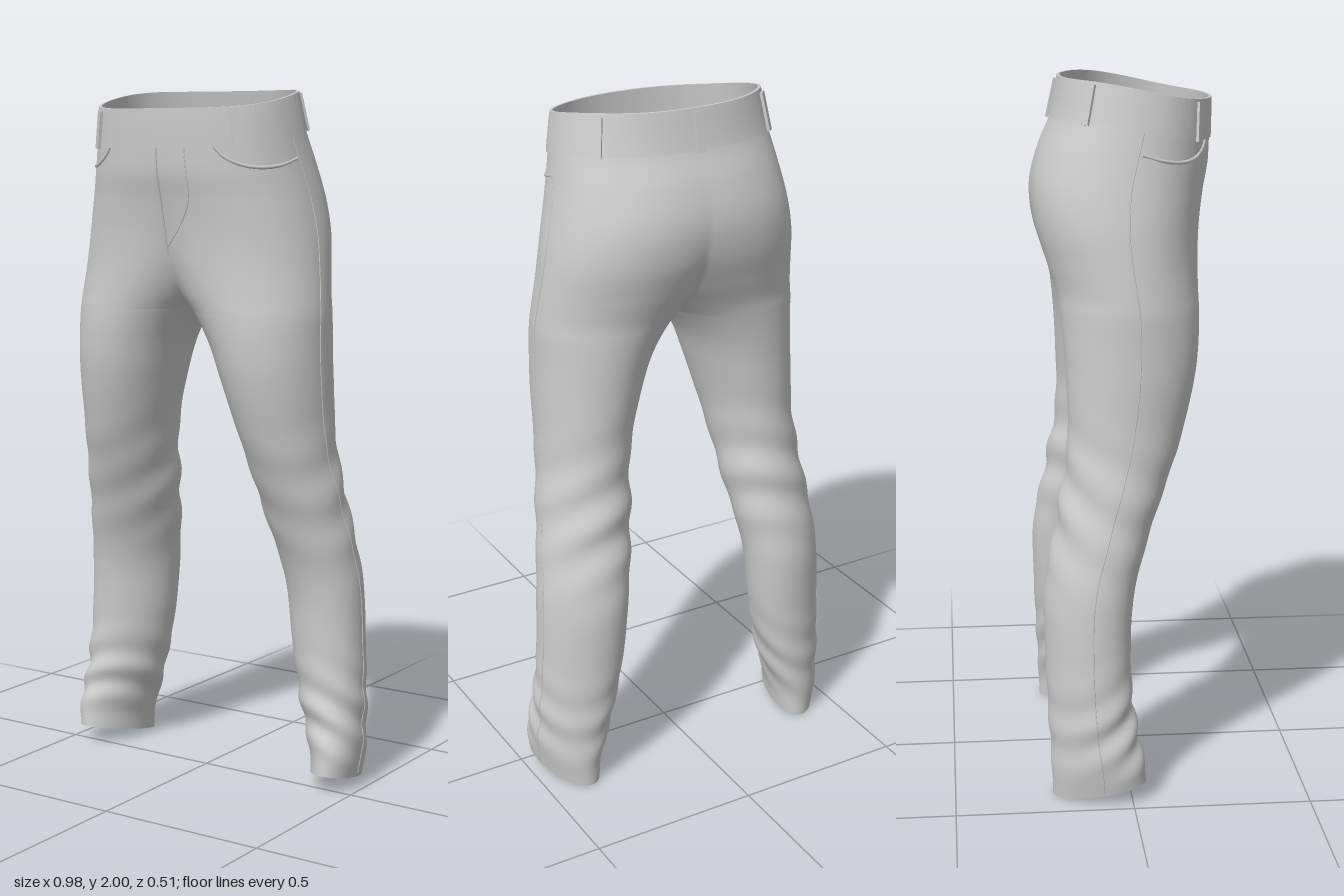
import * as THREE from 'three';
import { mergeVertices, toCreasedNormals } from 'three/addons/utils/BufferGeometryUtils.js';

const material = new THREE.MeshStandardMaterial({ color: 0xcccccc, side: THREE.DoubleSide });

// Sections of one half, from hem to waist: height, outer x, inner x, front z, back z.
// A negative inner x means that the two halves meet at x = 0.
const SECTIONS = [
  [0.0, 0.472, 0.328, 0.04, -0.222],
  [0.06, 0.482, 0.32, 0.035, -0.224],
  [0.2, 0.48, 0.28, 0.012, -0.23],
  [0.4, 0.47, 0.238, 0.0, -0.238],
  [0.6, 0.46, 0.215, 0.012, -0.238],
  [0.8, 0.435, 0.178, 0.07, -0.2],
  [1.0, 0.408, 0.148, 0.142, -0.168],
  [1.2, 0.403, 0.094, 0.192, -0.17],
  [1.3, 0.401, 0.055, 0.203, -0.176],
  [1.38, 0.4, 0.0, 0.206, -0.184],
  [1.42, 0.396, -0.04, 0.206, -0.19],
  [1.5, 0.386, -0.115, 0.208, -0.215],
  [1.6, 0.372, -0.19, 0.215, -0.244],
  [1.7, 0.352, -0.245, 0.23, -0.251],
  [1.8, 0.332, -0.285, 0.246, -0.228],
  [1.9, 0.314, -0.308, 0.252, -0.188],
  [2.0, 0.297, -0.297, 0.254, -0.168],
];
const CROTCH = 1.38;
const spline = new THREE.CubicInterpolant(
  SECTIONS.map((s) => s[0]), SECTIONS.flatMap((s) => s.slice(1)), 4);

const bump = (y, mid, width) => Math.exp(-(((y - mid) / width) ** 2));
const power = (v, e) => Math.sign(v) * Math.abs(v) ** e;

// Cloth folds at the knee and above the hem
function folds(y, a) {
  const s = Math.sin(a), c = Math.cos(a);
  return 0.006 * bump(y, 0.84, 0.17) * Math.sin(y * 42 + 3 * s + 2 * c) * (0.65 - 0.35 * s)
    + 0.007 * bump(y, 0.2, 0.13) * Math.sin(y * 50 - 3 * s + 2.5 * c) * (0.7 + 0.3 * s);
}

// Point on the left half: t runs from centre back (-1) over the side (0) to centre front (1)
function surfacePoint(y, t, offset = 0) {
  const [outer, inner, front, back] = spline.evaluate(y);
  const cx = (outer + inner) / 2, cz = (front + back) / 2;
  let rx = (outer - inner) / 2 + offset, rz = (front - back) / 2 + offset;
  const e = THREE.MathUtils.lerp(1, 0.9, THREE.MathUtils.smoothstep(y, 1.38, 1.7));
  const joined = y > CROTCH + 1e-5;
  const end = joined ? Math.acos(-(Math.min(1, Math.max(0, cx / rx)) ** (1 / e))) : Math.PI;
  const a = t * end;
  const fold = folds(y, a);
  rz += fold;
  if (!joined) rx += fold * THREE.MathUtils.smoothstep(CROTCH - y, 0, 0.2);
  let x = cx + rx * power(Math.cos(a), e);
  const z = cz + rz * power(Math.sin(a), e);
  x += 0.2 * (1 - THREE.MathUtils.smoothstep(y, 0.5, 1.15)) * (z - cz);
  if (joined && Math.abs(t) === 1) x = 0;
  // Waist dips to the front, hem rises to the front
  const dip = 0.055 * THREE.MathUtils.smoothstep(z, -0.13, 0.26) * THREE.MathUtils.smoothstep(y, 1.65, 1.9);
  const rise = 0.2 * (z + 0.222) * (1 - THREE.MathUtils.smoothstep(y, 0, 0.35));
  return new THREE.Vector3(Math.max(0, x), Math.max(0, y - dip + rise), z);
}

// Skin through rows of [height, offset], on both sides
function skin(rows, columns) {
  const position = [], index = [];
  for (const side of [1, -1]) {
    const base = position.length / 3;
    rows.forEach(([y, offset], j) => {
      for (let i = 0; i <= columns; i++) {
        const p = surfacePoint(y, (2 * i) / columns - 1, offset);
        position.push(p.x * side, p.y, p.z);
        if (j === rows.length - 1 || i === columns) continue;
        const a = base + j * (columns + 1) + i, b = a + columns + 1;
        if (side > 0) index.push(a, b, a + 1, b, b + 1, a + 1);
        else index.push(a, a + 1, b, b, a + 1, b + 1);
      }
    });
  }
  let geometry = new THREE.BufferGeometry();
  geometry.setAttribute('position', new THREE.Float32BufferAttribute(position, 3));
  geometry.setIndex(index);
  geometry = mergeVertices(geometry, 1e-4);
  geometry.computeVertexNormals();
  return geometry;
}

export function createModel() {
  const group = new THREE.Group();
  const add = (name, geometry) => {
    const mesh = new THREE.Mesh(geometry, material);
    mesh.name = name;
    group.add(mesh);
    return mesh;
  };

  // Legs and seat in one skin, with a row exactly at the crotch
  const rows = [];
  for (let i = 0; i < 110; i++) rows.push([(CROTCH * i) / 110, 0]);
  for (let i = 0; i <= 50; i++) rows.push([CROTCH + (2 - CROTCH) * (i / 50) ** 1.4, 0]);
  add('legsAndSeat', skin(rows, 80));

  // Waistband
  const band = [[1.89, 0], [1.89, 0.005], [1.93, 0.005], [1.97, 0.005], [2, 0.004], [2, -0.004], [1.95, -0.004], [1.89, -0.004]];
  add('waistband', toCreasedNormals(skin(band, 80), 0.7));

  // Raised seam along points [height, t], on one side
  const seam = (name, points, side, radius = 0.003) => {
    const curve = new THREE.CatmullRomCurve3(points.map(([y, t]) => {
      const p = surfacePoint(y, t);
      return p.setX(p.x * side);
    }));
    add(name, new THREE.TubeGeometry(curve, points.length * 4, radius, 6));
  };
  const sideSeam = [];
  for (let i = 0; i <= 60; i++) sideSeam.push([0.01 + (1.88 * i) / 60, 0.02]);
  const pocket = [[1.9, 0.66], [1.865, 0.6], [1.835, 0.5], [1.818, 0.37], [1.815, 0.22], [1.825, 0.04]];
  for (const side of [1, -1]) {
    seam('sideSeam', sideSeam, side, 0.002);
    seam('pocketOpening', pocket, side, 0.005);
  }

  // Fly: centre seam and curved stitching
  seam('flySeam', [[1.89, 1], [1.8, 1], [1.7, 1], [1.6, 1], [1.54, 1]], 1, 0.004);
  seam('flyStitching', [[1.89, 0.84], [1.8, 0.84], [1.7, 0.85], [1.64, 0.88], [1.59, 0.94], [1.56, 1]], 1, 0.002);

  // Belt loops
  const loop = (t, side) => {
    const low = surfacePoint(1.885, t, 0.009), high = surfacePoint(1.992, t, 0.009);
    const up = high.clone().sub(low);
    const across = Math.abs(t) === 1 ? new THREE.Vector3(1, 0, 0)
      : surfacePoint(1.94, t - 0.03).sub(surfacePoint(1.94, t + 0.03)).normalize();
    if (t === -1) across.negate();
    const length = up.length();
    up.normalize();
    const out = across.clone().cross(up).normalize();
    const geometry = new THREE.BoxGeometry(0.024, length, 0.008);
    geometry.applyMatrix4(new THREE.Matrix4().makeBasis(up.clone().cross(out), up, out));
    const middle = low.add(high).multiplyScalar(0.5);
    geometry.translate(middle.x, middle.y, middle.z);
    const mesh = add('beltLoop', geometry);
    mesh.scale.x = side;
  };
  loop(-1, 1);
  for (const side of [1, -1]) {
    loop(-0.4, side);
    loop(0.5, side);
  }
  return group;
}
